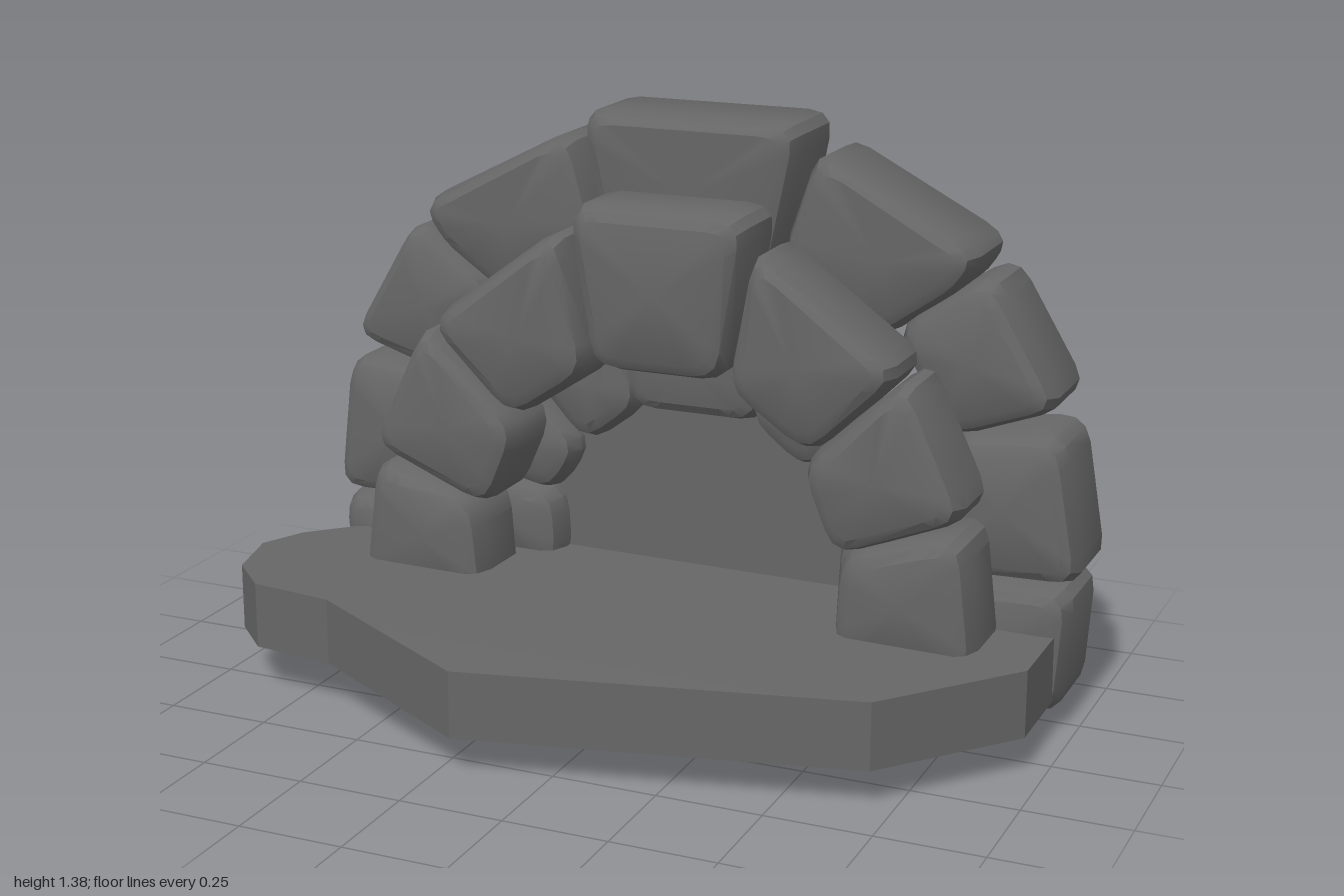
import * as THREE from 'three';
import { toCreasedNormals } from 'three/addons/utils/BufferGeometryUtils.js';

const stoneMat = new THREE.MeshStandardMaterial({ color: 0x666666 });
stoneMat.name = 'grey stone';

// polygon with its corners rounded off
function roundCorners(pts, radius) {
  const p = pts.map(([x, y]) => new THREE.Vector2(x, y));
  if (THREE.ShapeUtils.area(p) < 0) p.reverse();
  const out = [];
  p.forEach((c, i) => {
    const towards = (n) => {
      const d = n.clone().sub(c);
      return c.clone().addScaledVector(d, Math.min(radius / d.length(), 0.4));
    };
    const a = towards(p[(i + p.length - 1) % p.length]);
    const b = towards(p[(i + 1) % p.length]);
    const curve = new THREE.QuadraticBezierCurve(a, c, b);
    out.push(...curve.getPoints(3));
  });
  return out;
}

// stone block: flat back, softened front edge, built from stacked outlines
function stone(name, pts, zBack, zFront) {
  const outline = roundCorners(pts, 0.065);
  const n = outline.length;
  const mid = outline.reduce((s, p) => s.add(p), new THREE.Vector2()).divideScalar(n);
  const rings = [[zBack, 0.012], [zBack + 0.015, 0], [zFront - 0.06, 0], [zFront - 0.015, 0.018], [zFront, 0.045]];
  const pos = [], idx = [];
  for (const [z, inset] of rings) {
    for (const p of outline) {
      const d = p.clone().sub(mid);
      d.multiplyScalar(1 - inset / d.length());
      pos.push(mid.x + d.x, mid.y + d.y, z);
    }
  }
  for (let r = 0; r < rings.length - 1; r++) {
    for (let i = 0; i < n; i++) {
      const a = r * n + i, b = r * n + (i + 1) % n;
      idx.push(a, b, b + n, a, b + n, a + n);
    }
  }
  pos.push(mid.x, mid.y, zBack, mid.x, mid.y, zFront);
  const back = rings.length * n, top = back - n;
  for (let i = 0; i < n; i++) {
    const j = (i + 1) % n;
    idx.push(back, j, i, back + 1, top + i, top + j);
  }
  const geo = new THREE.BufferGeometry();
  geo.setAttribute('position', new THREE.Float32BufferAttribute(pos, 3));
  geo.setIndex(idx);
  const mesh = new THREE.Mesh(toCreasedNormals(geo, 0.6), stoneMat);
  mesh.name = name;
  return mesh;
}

function ring(name, stones, zBack, zFront) {
  const g = new THREE.Group();
  g.name = name;
  stones.forEach((pts, i) => g.add(stone(`${name}Stone${i + 1}`, pts, zBack, zFront)));
  return g;
}

// stones listed from bottom left, over the top, to bottom right
const outerStones = [
  [[-0.91, 0.36], [-0.58, 0.36], [-0.52, 0.04], [-0.89, 0.05]],
  [[-0.92, 0.36], [-0.88, 0.72], [-0.59, 0.69], [-0.56, 0.36]],
  [[-0.87, 0.77], [-0.69, 1.08], [-0.46, 0.93], [-0.6, 0.68]],
  [[-0.67, 1.12], [-0.26, 1.33], [-0.18, 1.06], [-0.42, 0.89], [-0.61, 1.02]],
  [[-0.24, 1.38], [0.32, 1.38], [0.25, 1.01], [-0.17, 1.01]],
  [[0.35, 1.33], [0.75, 1.12], [0.7, 1.03], [0.5, 0.89], [0.26, 1.06]],
  [[0.77, 1.08], [0.95, 0.78], [0.68, 0.68], [0.54, 0.93]],
  [[0.95, 0.72], [1.01, 0.37], [0.64, 0.36], [0.67, 0.69]],
  [[0.99, 0.36], [0.97, 0.05], [0.56, 0.04], [0.65, 0.36]],
];
const frontStones = [
  [[-0.74, 0.2], [-0.7, 0.53], [-0.42, 0.45], [-0.4, 0.2]],
  [[-0.71, 0.56], [-0.56, 0.88], [-0.3, 0.64], [-0.39, 0.43]],
  [[-0.55, 0.88], [-0.2, 1.14], [-0.12, 0.8], [-0.33, 0.66]],
  [[-0.18, 1.2], [0.27, 1.2], [0.21, 0.81], [-0.12, 0.81]],
  [[0.28, 1.14], [0.64, 0.88], [0.42, 0.66], [0.21, 0.8]],
  [[0.65, 0.88], [0.8, 0.56], [0.48, 0.43], [0.39, 0.64]],
  [[0.79, 0.53], [0.83, 0.2], [0.48, 0.2], [0.49, 0.45]],
];
const innerStones = [
  [[-0.59, 0.22], [-0.3, 0.22], [-0.3, 0.0], [-0.57, 0.01]],
  [[-0.31, 0.22], [-0.32, 0.42], [-0.57, 0.46], [-0.59, 0.22]],
  [[-0.25, 0.54], [-0.34, 0.4], [-0.57, 0.48], [-0.42, 0.71]],
  [[-0.25, 0.54], [-0.09, 0.66], [-0.16, 0.89], [-0.41, 0.72]],
  [[-0.13, 0.65], [0.21, 0.65], [0.25, 0.91], [-0.16, 0.91]],
  [[0.33, 0.54], [0.17, 0.66], [0.24, 0.89], [0.48, 0.72]],
  [[0.33, 0.54], [0.42, 0.4], [0.64, 0.48], [0.49, 0.71]],
  [[0.4, 0.22], [0.41, 0.42], [0.64, 0.46], [0.66, 0.22]],
  [[0.66, 0.22], [0.4, 0.22], [0.4, 0.0], [0.65, 0.01]],
];

// irregular floor slab, slightly raised towards its left front
function floorSlab() {
  const outline = [[-1, 0.08], [-0.96, 0.24], [-0.86, 0.34], [-0.65, 0.365], [-0.21, 0.59], [0.7, 0.38],
    [0.955, 0.07], [0.955, -0.22], [0.89, -0.4], [0.78, -0.56], [0.51, -0.6], [-0.38, -0.4], [-0.85, -0.13], [-0.95, -0.03]];
  const shape = new THREE.Shape(outline.map(([x, z]) => new THREE.Vector2(x, -z)));
  const geo = new THREE.ExtrudeGeometry(shape, { depth: 0.16, bevelEnabled: false });
  geo.rotateX(-Math.PI / 2);
  const p = geo.attributes.position;
  for (let i = 0; i < p.count; i++) {
    const x = p.getX(i), z = p.getZ(i);
    const lift = 0.025 * THREE.MathUtils.smoothstep(-x, 0.2, 0.65) - 0.01 * THREE.MathUtils.smoothstep(-z, 0.35, 0.6);
    p.setY(i, p.getY(i) + 0.092 + lift);
  }
  const mesh = new THREE.Mesh(toCreasedNormals(geo, 0.3), stoneMat);
  mesh.name = 'floorSlab';
  return mesh;
}

// wall closing the arch opening
function backWall() {
  const shape = new THREE.Shape();
  shape.moveTo(-0.45, 0.2);
  shape.lineTo(0.54, 0.2);
  shape.lineTo(0.54, 0.4);
  shape.bezierCurveTo(0.48, 0.9, -0.39, 0.9, -0.45, 0.4);
  const geo = new THREE.ExtrudeGeometry(shape, { depth: 0.03, bevelEnabled: false });
  geo.translate(0, 0, -0.29);
  const mesh = new THREE.Mesh(geo, stoneMat);
  mesh.name = 'backWall';
  return mesh;
}

export function createModel() {
  const model = new THREE.Group();
  model.name = 'stoneAlcove';
  model.add(
    floorSlab(),
    backWall(),
    ring('outerArch', outerStones, -0.39, -0.14),
    ring('frontArch', frontStones, -0.15, 0.06),
    ring('innerArch', innerStones, -0.385, -0.18),
  );
  return model;
}
